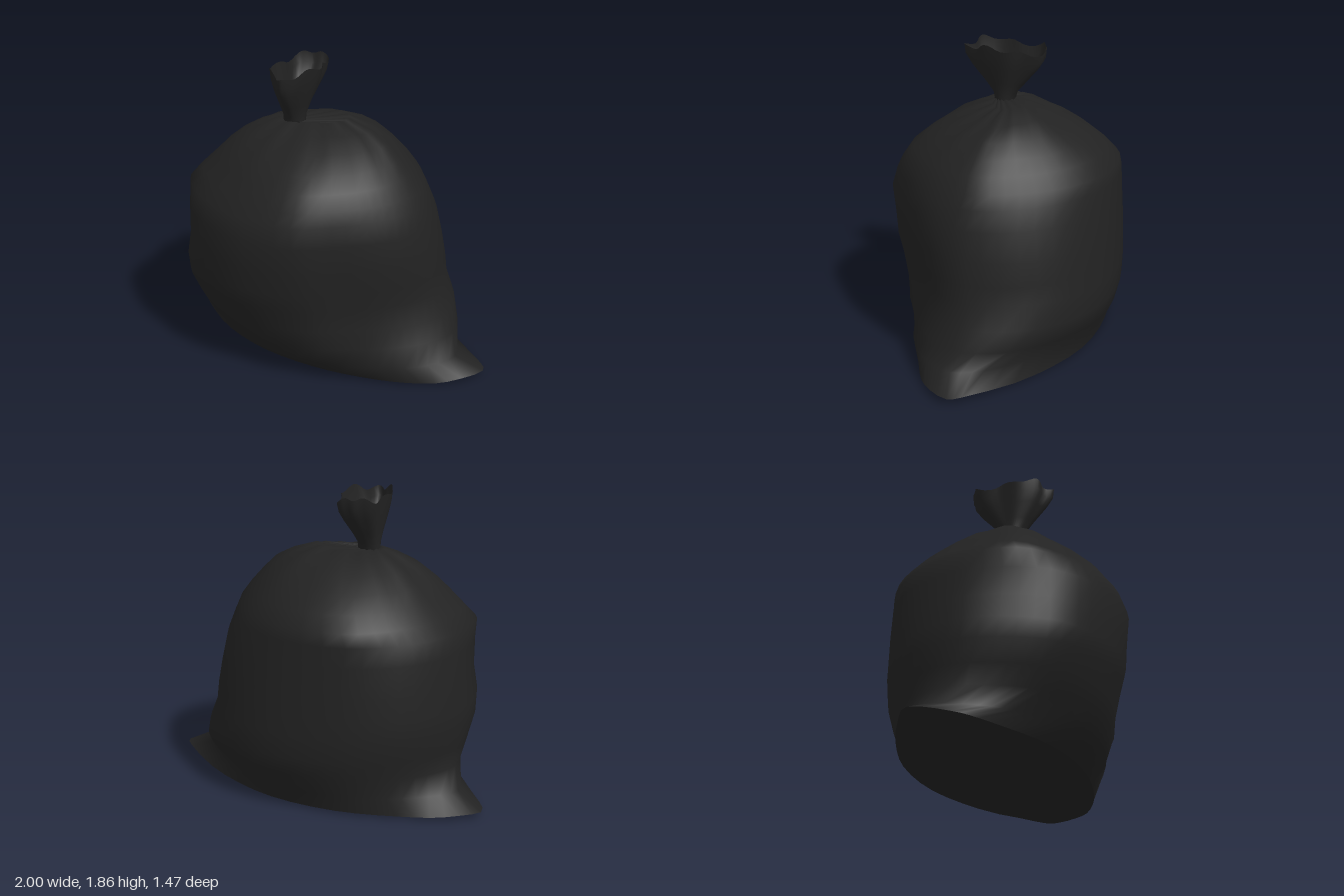
import * as THREE from 'three';

const SIDES = 48;

// Plan outlines as [x, z], from the left corner round by the front
const BASE = [[1, .36], [.8, .5], [.55, .55], [.25, .53], [-.05, .46], [-.4, .3], [-.68, .07], [-.87, -.18],
  [-.95, -.33], [-1, -.57], [-.79, -.63], [-.5, -.65], [-.12, -.62], [.3, -.46], [.65, -.17], [.95, .22]];
const BELLY = [[.68, .25], [.57, .42], [.38, .55], [.15, .64], [-.1, .72], [-.42, .67], [-.65, .53], [-.85, .3],
  [-.91, .04], [-.88, -.28], [-.74, -.5], [-.5, -.67], [-.16, -.73], [.27, -.62], [.56, -.37], [.69, -.07]];
const CROWN = [[.66, .21], [.55, .4], [.38, .54], [.15, .65], [-.1, .71], [-.4, .62], [-.61, .47], [-.79, .26],
  [-.91, .02], [-.81, -.25], [-.67, -.45], [-.46, -.61], [-.16, -.71], [.24, -.61], [.5, -.36], [.63, -.06]];

// Body sections: y, blend (0 base, 1 belly, 2 crown), x min, x max, z min, z max
const SECTIONS = [
  [.04, 0, -1, 1, -.65, .55],
  [.12, .36, -.86, .83, -.66, .6],
  [.24, .75, -.84, .81, -.69, .64],
  [.36, .9, -.88, .775, -.72, .65],
  [.5, 1, -.92, .72, -.73, .68],
  [.62, 1, -.925, .71, -.725, .71],
  [.77, 1, -.9, .685, -.72, .72],
  [.95, 1.2, -.9, .65, -.71, .74],
  [1.07, 1.7, -.91, .61, -.705, .705],
  [1.15, 2, -.84, .575, -.69, .67],
  [1.24, 2, -.75, .51, -.61, .61],
  [1.32, 2, -.67, .44, -.51, .51],
  [1.4, 2, -.57, .36, -.38, .39],
  [1.46, 2, -.46, .25, -.25, .24],
  [1.5, 2, -.35, .1, -.13, .11],
  [1.49, 2, -.3, -.17, -.03, .09],
];

// Smooth closed outline sampled at SIDES points
function sample(outline) {
  const curve = new THREE.CatmullRomCurve3(outline.map(([x, z]) => new THREE.Vector3(x, 0, z)), true);
  return Array.from({ length: SIDES }, (_, i) => curve.getPoint(i / SIDES));
}

// Surface through closed rings of Vector3
function loft(name, rings, material) {
  const positions = [], index = [], n = rings[0].length;
  rings.forEach((ring) => ring.forEach((p) => positions.push(p.x, p.y, p.z)));
  for (let j = 0; j < rings.length - 1; j++) {
    for (let i = 0; i < n; i++) {
      const a = j * n + i, b = j * n + (i + 1) % n;
      index.push(a, a + n, b, b, a + n, b + n);
    }
  }
  const geometry = new THREE.BufferGeometry();
  geometry.setAttribute('position', new THREE.Float32BufferAttribute(positions, 3));
  geometry.setIndex(index);
  geometry.computeVertexNormals();
  const mesh = new THREE.Mesh(geometry, material);
  mesh.name = name;
  return mesh;
}

export function createModel() {
  const model = new THREE.Group();
  model.name = 'tiedBag';
  const plastic = new THREE.MeshStandardMaterial({ color: 0x222222, side: THREE.DoubleSide });
  plastic.name = 'black plastic';

  // Body: blended outlines fitted to each section's extents
  const outlines = [BASE, BELLY, CROWN].map(sample);
  const bodyRings = SECTIONS.map(([y, blend, x0, x1, z0, z1], level) => {
    const k = Math.min(Math.floor(blend), 1);
    const ring = outlines[k].map((p, i) => p.clone().lerp(outlines[k + 1][i], blend - k));
    const box = new THREE.Box3().setFromPoints(ring);
    const pleat = THREE.MathUtils.smoothstep(y, 1.2, 1.42) * .005;
    return ring.map((p, i) => {
      const x = THREE.MathUtils.mapLinear(p.x, box.min.x, box.max.x, x0, x1);
      const z = THREE.MathUtils.mapLinear(p.z, box.min.z, box.max.z, z0, z1);
      // The bottom seam lifts only at its two corners
      if (level === 0) return new THREE.Vector3(x, .015 + .025 * THREE.MathUtils.smoothstep(Math.abs(x), .7, 1), z);
      // Gathered pleats and a soft hump beside the knot
      const hump = y > 1.38 ? .02 * Math.exp(-((x - .08) ** 2 + (z + .06) ** 2) / .02) : 0;
      return new THREE.Vector3(x, y + hump + pleat * Math.sin(i * Math.PI / 2), z);
    });
  });
  model.add(loft('bagBody', bodyRings, plastic));

  // Underside: flat floor curling up to the seam
  const floorRings = [[0, 0], [.6, 0], [.9, 0], [1, 1]].map(([s, rise]) =>
    bodyRings[0].map((p) => new THREE.Vector3(-.04 + (p.x + .04) * s, p.y * rise, -.04 + (p.z + .04) * s)));
  model.add(loft('bagUnderside', floorRings, plastic));

  // Gathered neck: a tilted ellipse flaring to a ruffled open rim
  const neckRings = [
    [1.46, .06, .07, 0], [1.53, .075, .07, .1], [1.6, .13, .085, .35],
    [1.7, .21, .11, .7], [1.77, .25, .125, .9], [1.83, .255, .135, 1],
  ].map(([y, major, minor, flare]) => Array.from({ length: SIDES }, (_, i) => {
    const a = -i / SIDES * Math.PI * 2;
    const ruffle = 1 + flare * (.08 * Math.sin(5 * a + .6) + .04 * Math.sin(8 * a));
    const u = major * Math.cos(a) * ruffle, v = minor * Math.sin(a) * ruffle;
    const lift = flare ** 3 * (.016 * Math.sin(3 * a + 4) + .014 * Math.sin(7 * a));
    return new THREE.Vector3(-.24 + .025 * flare - .3 * u + .954 * v, y + lift, .03 - .02 * flare + .954 * u + .3 * v);
  }));
  model.add(loft('gatheredNeck', neckRings, plastic));

  return model;
}
